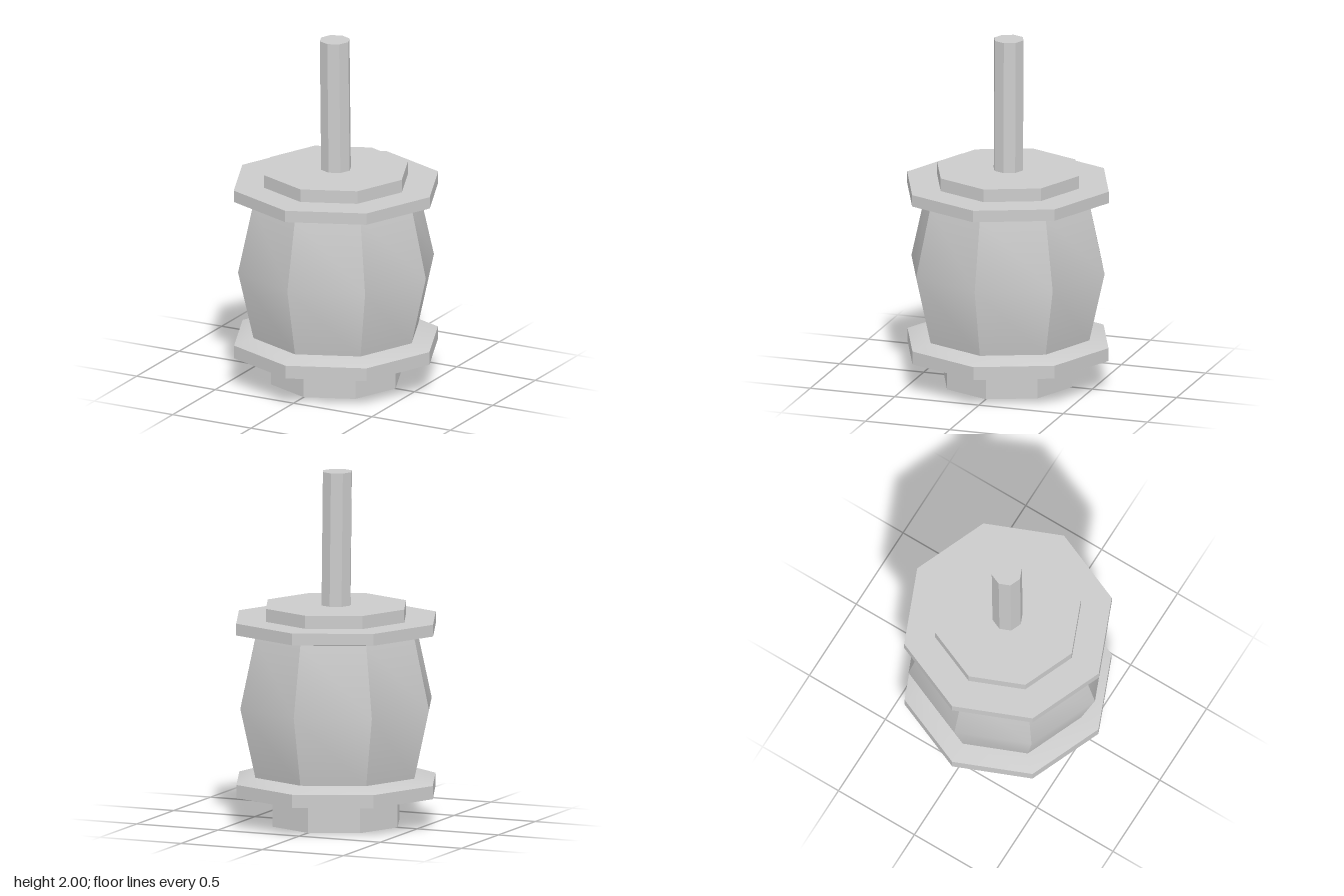
import * as THREE from 'three';
import { toCreasedNormals } from 'three/addons/utils/BufferGeometryUtils.js';

const SIDES = 8;
const CREASE = 0.6; // keeps the octagon edges sharp, smooths the belly of the barrel

export function createModel() {
  const group = new THREE.Group();
  const material = new THREE.MeshStandardMaterial({ color: 0xcccccc });

  // Octagonal turned part from a [radius, y] profile, listed bottom to top
  function turned(name, profile) {
    const points = profile.map(([r, y]) => new THREE.Vector2(r, y));
    const geometry = toCreasedNormals(new THREE.LatheGeometry(points, SIDES), CREASE);
    const mesh = new THREE.Mesh(geometry, material);
    mesh.name = name;
    group.add(mesh);
    return mesh;
  }

  turned('foot', [[0, 0], [0.38, 0], [0.38, 0.175], [0, 0.175]]);

  // Lower flange with a bevel rising to the barrel
  turned('lowerFlange', [[0, 0.175], [0.596, 0.175], [0.596, 0.25], [0.48, 0.285], [0, 0.285]]);

  turned('barrel', [[0.482, 0.28], [0.573, 0.68], [0.482, 1.085]]);

  // Upper flange with a shallow sloped underside
  turned('upperFlange', [[0, 1.08], [0.48, 1.08], [0.598, 1.1], [0.598, 1.167], [0, 1.167]]);

  turned('cap', [[0, 1.165], [0.42, 1.165], [0.42, 1.241], [0, 1.241]]);

  // Shaft, leaning very slightly to one side
  const shaft = turned('shaft', [[0, 1.235], [0.087, 1.235], [0.087, 2], [0, 2]]);
  const lean = new THREE.Matrix4().makeShear(0, 0, -0.009, 0, 0, 0);
  lean.set(1, -0.011, 0, 0.0125, 0, 1, 0, 0, 0, 0, 1, -0.002, 0, 0, 0, 1);
  shaft.geometry.applyMatrix4(lean);

  return group;
}
